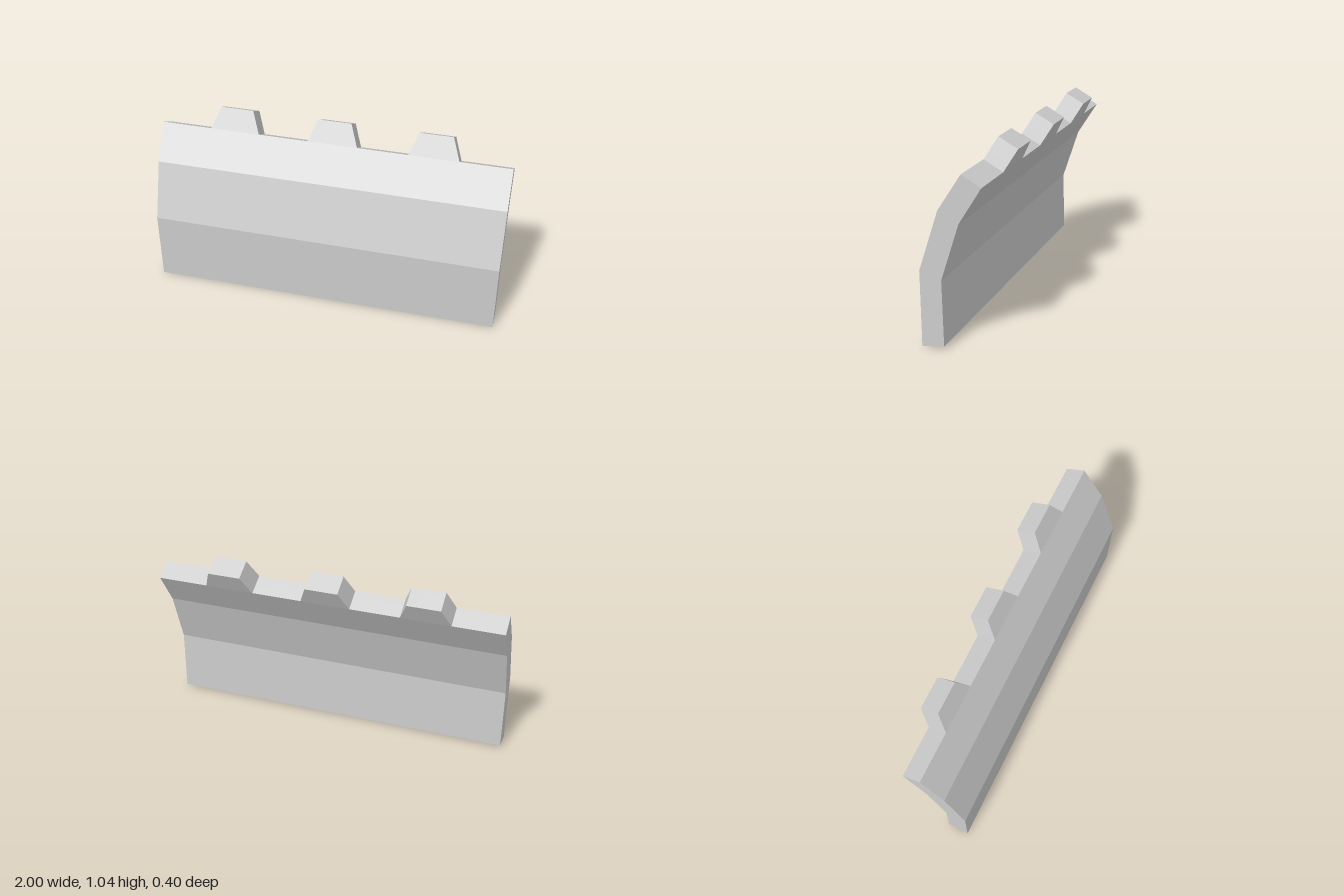
import * as THREE from 'three';

// Side profile of the curved plate as [z, y], up the front and down the back
const FRONT = [[0.196, 0], [0.2, 0.41], [0.093, 0.735], [-0.033, 0.928]];
const BACK = [[-0.138, 0.87], [-0.016, 0.675], [0.082, 0.372], [0.075, 0.015]];
const RISE = [-0.062, 0.112]; // tooth direction as [z, y]

// Tapered block standing on the plate's sloping top edge
function makeTooth(x, baseHalf, topHalf, material) {
  const geometry = new THREE.BoxGeometry(2, 2, 2);
  const p = geometry.attributes.position;
  for (let i = 0; i < p.count; i++) {
    const top = p.getY(i) > 0;
    const [z, y] = p.getZ(i) > 0 ? FRONT[3] : BACK[0];
    p.setXYZ(
      i,
      x + p.getX(i) * (top ? topHalf : baseHalf),
      y + (top ? RISE[1] : 0),
      z + (top ? RISE[0] : 0)
    );
  }
  geometry.computeVertexNormals();
  const tooth = new THREE.Mesh(geometry, material);
  tooth.name = 'tooth';
  return tooth;
}

export function createModel() {
  const model = new THREE.Group();
  model.name = 'curvedBarrier';
  const grey = new THREE.MeshStandardMaterial({ color: 0xcccccc, flatShading: true });
  grey.name = 'lightGrey';

  // Curved plate, extruded along x
  const profile = new THREE.Shape([...FRONT, ...BACK].map(([z, y]) => new THREE.Vector2(-z, y)));
  const geometry = new THREE.ExtrudeGeometry(profile, { depth: 2, bevelEnabled: false });
  geometry.rotateY(Math.PI / 2).translate(-1, 0, 0);
  const plate = new THREE.Mesh(geometry, grey);
  plate.name = 'curvedPlate';
  model.add(plate);

  // Three teeth along the top edge
  const teeth = new THREE.Group();
  teeth.name = 'teeth';
  for (const x of [-0.57, -0.002, 0.567]) teeth.add(makeTooth(x, 0.141, 0.094, grey));
  model.add(teeth);

  return model;
}
